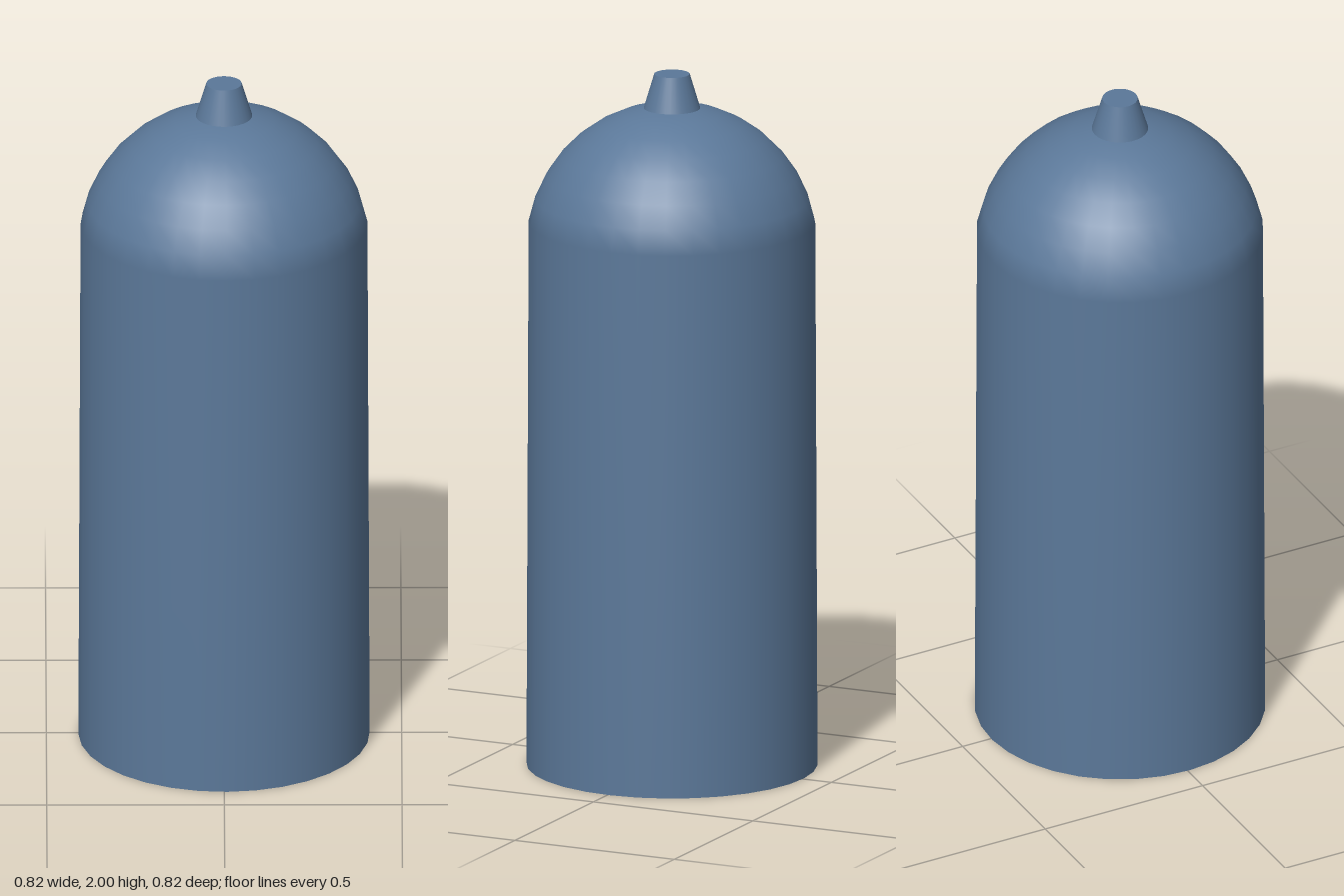
import * as THREE from 'three';

const SIDES = 32;
const RADIUS = 0.41;
const DOME_CENTRE = 1.5;

export function createModel() {
  const group = new THREE.Group();
  const material = new THREE.MeshStandardMaterial({ color: 0x5b7899 });

  const add = (name, geometry, y = 0) => {
    const mesh = new THREE.Mesh(geometry, material);
    mesh.name = name;
    mesh.position.y = y;
    group.add(mesh);
    return mesh;
  };

  // Slightly tapered wall running smoothly into a round dome
  const profile = [new THREE.Vector2(RADIUS, 0)];
  for (let deg = 10; deg <= 90; deg += 10) {
    const a = THREE.MathUtils.degToRad(deg);
    const r = deg === 90 ? 0 : RADIUS * Math.cos(a);
    profile.push(new THREE.Vector2(r, DOME_CENTRE + RADIUS * Math.sin(a)));
  }
  add('bodyAndDome', new THREE.LatheGeometry(profile, SIDES)).rotation.y = 0.02;

  // Flat underside
  const base = new THREE.CircleGeometry(RADIUS, SIDES);
  base.rotateX(Math.PI / 2);
  add('base', base).rotation.y = 0.02;

  // Tapered nozzle with a flat tip, sunk a little into the dome
  add('nozzle', new THREE.CylinderGeometry(0.05, 0.083, 0.11, SIDES), 1.945);

  return group;
}
